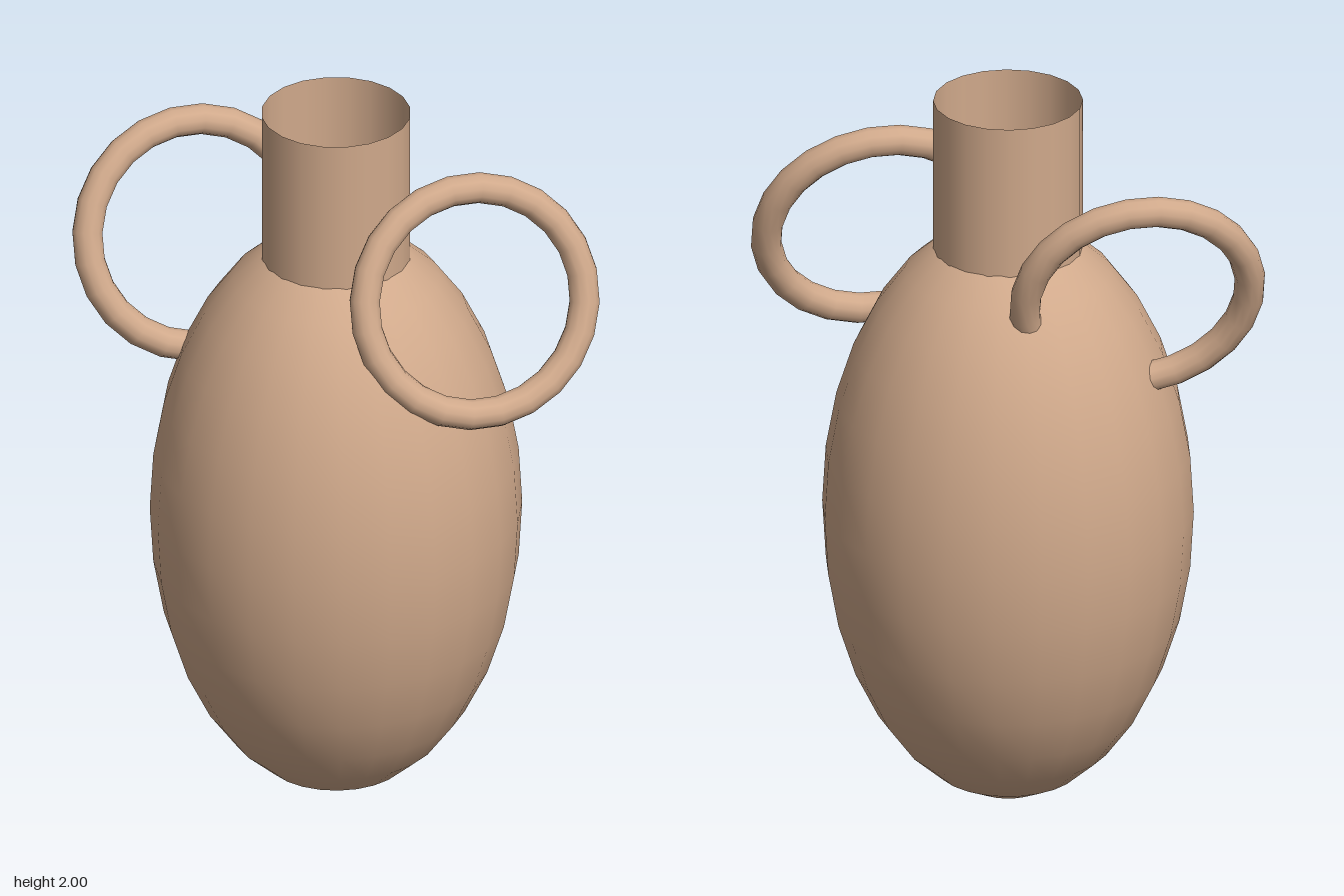
import * as THREE from 'three';

export function createModel() {
  const vase = new THREE.Group();
  vase.name = 'vase';
  const clay = new THREE.MeshStandardMaterial({ color: 0xd0a98b, side: THREE.DoubleSide });
  clay.name = 'tan clay';

  const add = (name, geometry, x, y, z) => {
    const mesh = new THREE.Mesh(geometry, clay);
    mesh.name = name;
    mesh.position.set(x, y, z);
    vase.add(mesh);
    return mesh;
  };

  // Egg-shaped body
  const bodyGeometry = new THREE.SphereGeometry(1, 24, 16).scale(0.493, 0.82, 0.493);
  add('body', bodyGeometry, 0, 0.825, 0);

  // Open neck, sunk slightly into the body, whose crown closes it from below
  add('neck', new THREE.CylinderGeometry(0.198, 0.198, 0.46, 20, 1, true), 0, 1.77, 0);

  // Ring handles: both lean the same way, so one bites into the body
  const axis = new THREE.Vector3(2, 1, 2).normalize();
  const ring = new THREE.TorusGeometry(0.303, 0.041, 12, 24);
  for (const [name, side] of [['leftHandle', 1], ['rightHandle', -1]]) {
    const handle = add(name, ring, side * 0.415, 1.537, 0);
    handle.quaternion.setFromUnitVectors(new THREE.Vector3(0, 0, 1), axis);
  }
  return vase;
}
